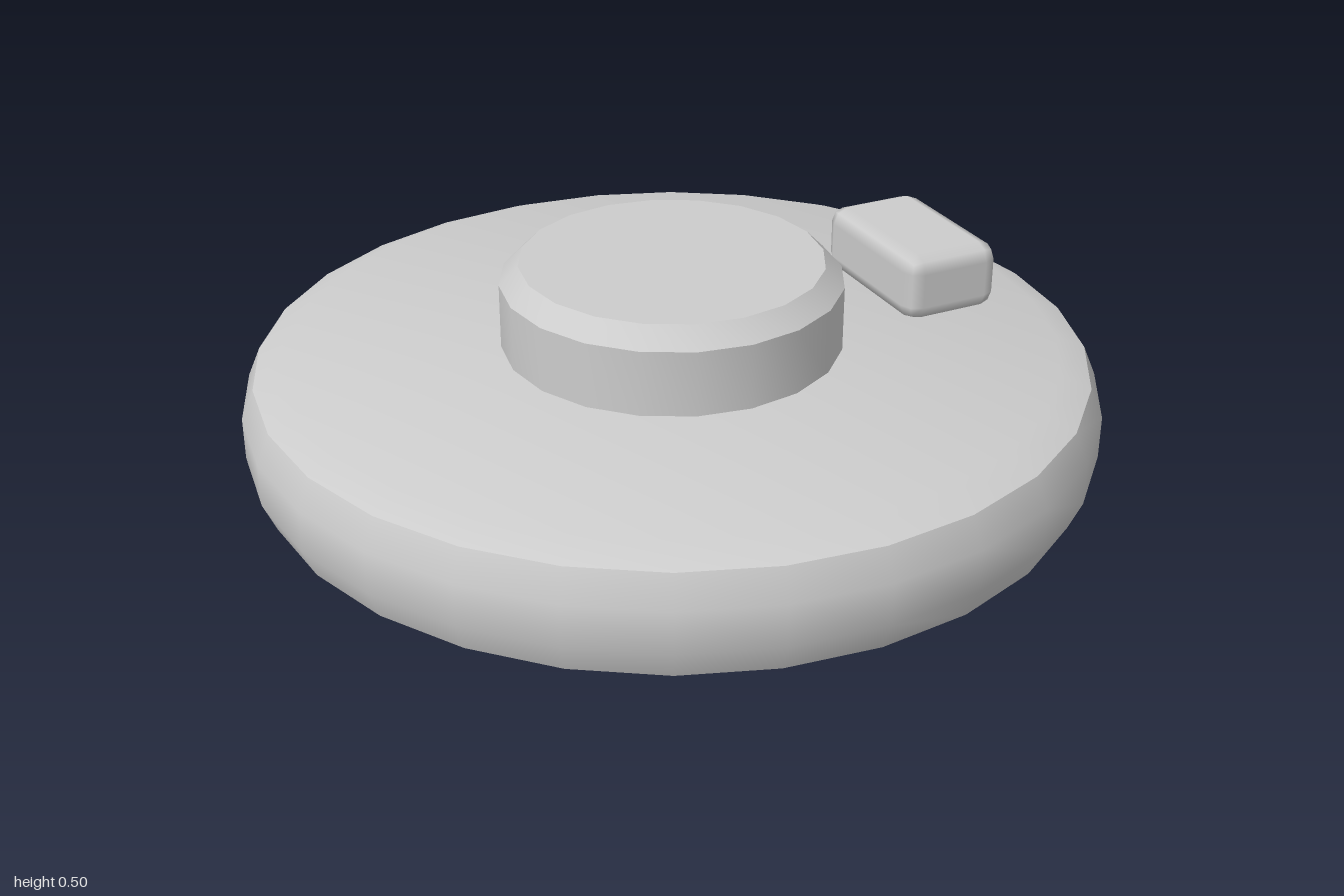
import * as THREE from 'three';
import { toCreasedNormals } from 'three/addons/utils/BufferGeometryUtils.js';
import { RoundedBoxGeometry } from 'three/addons/geometries/RoundedBoxGeometry.js';

// Turned solid with smooth sides and sharp bevel rings
function turned(profile, sides) {
  const points = profile.map(([r, y]) => new THREE.Vector2(r, y));
  return toCreasedNormals(new THREE.LatheGeometry(points, sides), Math.PI / 6);
}

export function createModel() {
  const group = new THREE.Group();
  group.name = 'discWithHub';
  const grey = new THREE.MeshStandardMaterial({ color: 0xcccccc });
  grey.name = 'light grey';

  const add = (name, geometry) => {
    const mesh = new THREE.Mesh(geometry, grey);
    mesh.name = name;
    group.add(mesh);
    return mesh;
  };

  // Wide base disc with a two-step rounded rim
  add('baseDisc', turned([
    [0, 0], [0.9, 0], [0.97, 0.03], [1, 0.1],
    [1, 0.2], [0.97, 0.27], [0.9, 0.3], [0, 0.3],
  ], 28));

  // Central hub with a chamfered top edge
  add('hub', turned([
    [0, 0.29], [0.4, 0.29], [0.4, 0.455], [0.355, 0.5], [0, 0.5],
  ], 20));

  // Small rounded block beside the hub
  add('sideBlock', new RoundedBoxGeometry(0.25, 0.165, 0.4, 1, 0.04))
    .position.set(0.65, 0.3825, 0);

  return group;
}
